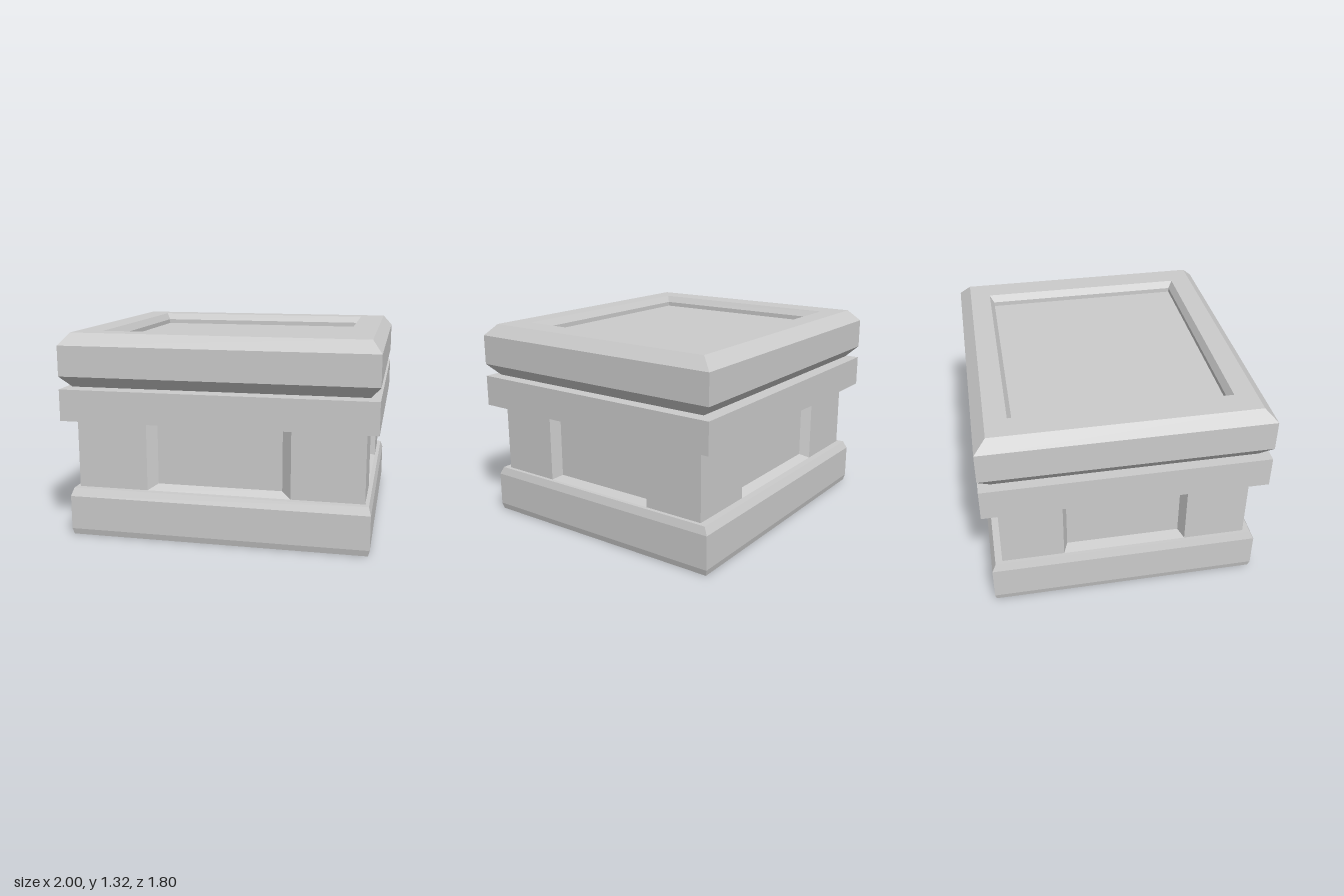
import * as THREE from 'three';

const material = new THREE.MeshStandardMaterial({ color: 0xcccccc });

// Stacks rectangular rings [level, halfX, halfZ] into a flat-faced solid.
// The last ring is always closed; the first one only when closeStart is set.
function loft(rings, closeStart = true) {
  const positions = [];
  const quad = (a, b, c, d) => positions.push(...a, ...b, ...c, ...a, ...c, ...d);
  const loops = rings.map(([y, x, z]) => [[x, y, z], [x, y, -z], [-x, y, -z], [-x, y, z]]);

  for (let k = 0; k < loops.length - 1; k++) {
    const low = loops[k], high = loops[k + 1];
    for (let i = 0; i < 4; i++) {
      const j = (i + 1) % 4;
      quad(low[i], low[j], high[j], high[i]);
    }
  }
  quad(...loops[loops.length - 1]);
  if (closeStart) quad(...[...loops[0]].reverse());

  const geometry = new THREE.BufferGeometry();
  geometry.setAttribute('position', new THREE.Float32BufferAttribute(positions, 3));
  geometry.computeVertexNormals();
  return geometry;
}

function addPart(parent, name, geometry) {
  const mesh = new THREE.Mesh(geometry, material);
  mesh.name = name;
  parent.add(mesh);
  return mesh;
}

export function createModel() {
  const model = new THREE.Group();
  model.name = 'pedestal';

  // Chamfered plinth
  addPart(model, 'base', loft([
    [0, 0.955, 0.86], [0.04, 0.965, 0.87], [0.26, 0.965, 0.87], [0.31, 0.95, 0.845],
  ]));

  // Body: four corner posts with a sunken panel between each pair
  const body = new THREE.Group();
  body.name = 'body';
  model.add(body);
  const bottom = 0.31, top = 0.765, middle = (bottom + top) / 2, half = (top - bottom) / 2;
  const bodyX = 0.925, bodyZ = 0.8, openX = 0.465, openZ = 0.4;

  for (const sx of [-1, 1]) {
    for (const sz of [-1, 1]) {
      const post = addPart(body, 'cornerPost',
        new THREE.BoxGeometry(bodyX - openX, top - bottom, bodyZ - openZ));
      post.position.set(sx * (bodyX + openX) / 2, middle, sz * (bodyZ + openZ) / 2);
    }
  }

  // Panels are lofted inward from the opening, then turned to face each side
  const wideRings = [[0, openX, half], [-0.05, openX - 0.06, half - 0.035]];
  const narrowRings = [[0, openZ, half], [-0.07, openZ - 0.03, half - 0.018]];
  const panels = [
    ['frontPanel', wideRings, bodyZ, 0],
    ['leftPanel', narrowRings, bodyX, Math.PI / 2],
    ['backPanel', wideRings, bodyZ, Math.PI],
    ['rightPanel', narrowRings, bodyX, -Math.PI / 2],
  ];
  for (const [name, rings, distance, angle] of panels) {
    const geometry = loft(rings, false);
    geometry.rotateX(Math.PI / 2).translate(0, middle, distance).rotateY(angle);
    addPart(body, name, geometry);
  }

  // Plain slab above the body
  addPart(model, 'slab', loft([[top, 1, 0.9], [0.968, 1, 0.9]]));

  // Bevelled lid whose profile folds over into a shallow tray
  addPart(model, 'lid', loft([
    [0.976, 0.94, 0.825], [1.05, 1, 0.9], [1.245, 1, 0.9], [1.32, 0.94, 0.825],
    [1.32, 0.773, 0.688], [1.275, 0.745, 0.66], [1.245, 0.745, 0.66],
  ]));

  return model;
}
